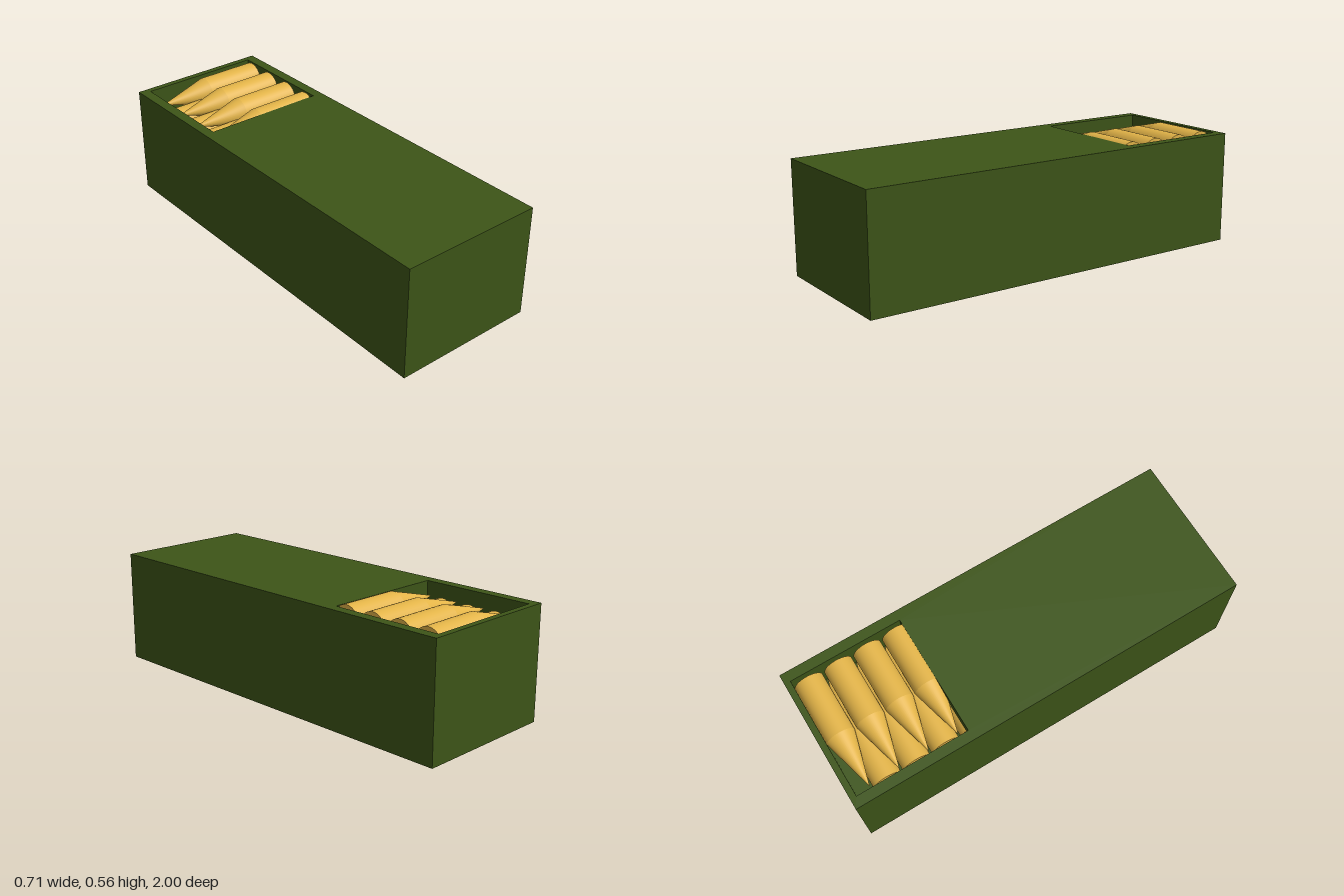
import * as THREE from 'three';
import { mergeGeometries } from 'three/addons/utils/BufferGeometryUtils.js';

const W = 0.71, H = 0.55, L = 2;        // case size
const FLOOR = 0.35;                     // height of the pocket floor
const R = 0.07;                         // cartridge radius

// Counter-clockwise rectangle; plan y becomes -z once laid flat
const rect = (Type, x0, y0, x1, y1) => {
  const p = new Type();
  p.moveTo(x0, y0);
  p.lineTo(x1, y0);
  p.lineTo(x1, y1);
  p.lineTo(x0, y1);
  p.closePath();
  return p;
};

// Cartridge along x: flat base at +x, straight body, pointed tip at -x
function cartridgeGeometry() {
  const body = new THREE.CylinderGeometry(R, R, 0.303, 40).translate(0, -0.1315, 0);
  const tip = new THREE.ConeGeometry(R, 0.263, 40, 1, true).translate(0, 0.1515, 0);
  return mergeGeometries([body, tip]).rotateZ(Math.PI / 2);
}

export function createModel() {
  const model = new THREE.Group();
  const green = new THREE.MeshStandardMaterial({ color: 0x3d5518 });
  const brass = new THREE.MeshStandardMaterial({ color: 0xe3b448 });

  // Case: solid lower body and an upper rim with the feed opening
  const body = new THREE.Mesh(new THREE.BoxGeometry(W, FLOOR, L), green);
  body.position.y = FLOOR / 2;
  body.name = 'caseBody';
  model.add(body);

  const plan = rect(THREE.Shape, -W / 2, -L / 2, W / 2, L / 2);
  plan.holes.push(rect(THREE.Path, -0.305, 0.41, 0.305, 0.97));
  const rimGeometry = new THREE.ExtrudeGeometry(plan, { depth: H - FLOOR, bevelEnabled: false });
  const rim = new THREE.Mesh(rimGeometry.rotateX(-Math.PI / 2), green);
  rim.position.y = FLOOR;
  rim.name = 'caseRim';
  model.add(rim);

  // Two staggered rows of cartridges pointing opposite ways
  const geometry = cartridgeGeometry();
  const cartridges = new THREE.Group();
  cartridges.name = 'cartridges';
  for (let i = 0; i < 4; i++) {
    const upper = new THREE.Mesh(geometry, brass);
    upper.position.set(0, 0.49, -0.9 + i * 0.15);
    upper.name = 'upperCartridge';
    const lower = new THREE.Mesh(geometry, brass);
    lower.position.set(0, 0.42, -0.818 + i * 0.15);
    lower.rotation.y = Math.PI;
    lower.name = 'lowerCartridge';
    cartridges.add(upper, lower);
  }
  model.add(cartridges);
  return model;
}
